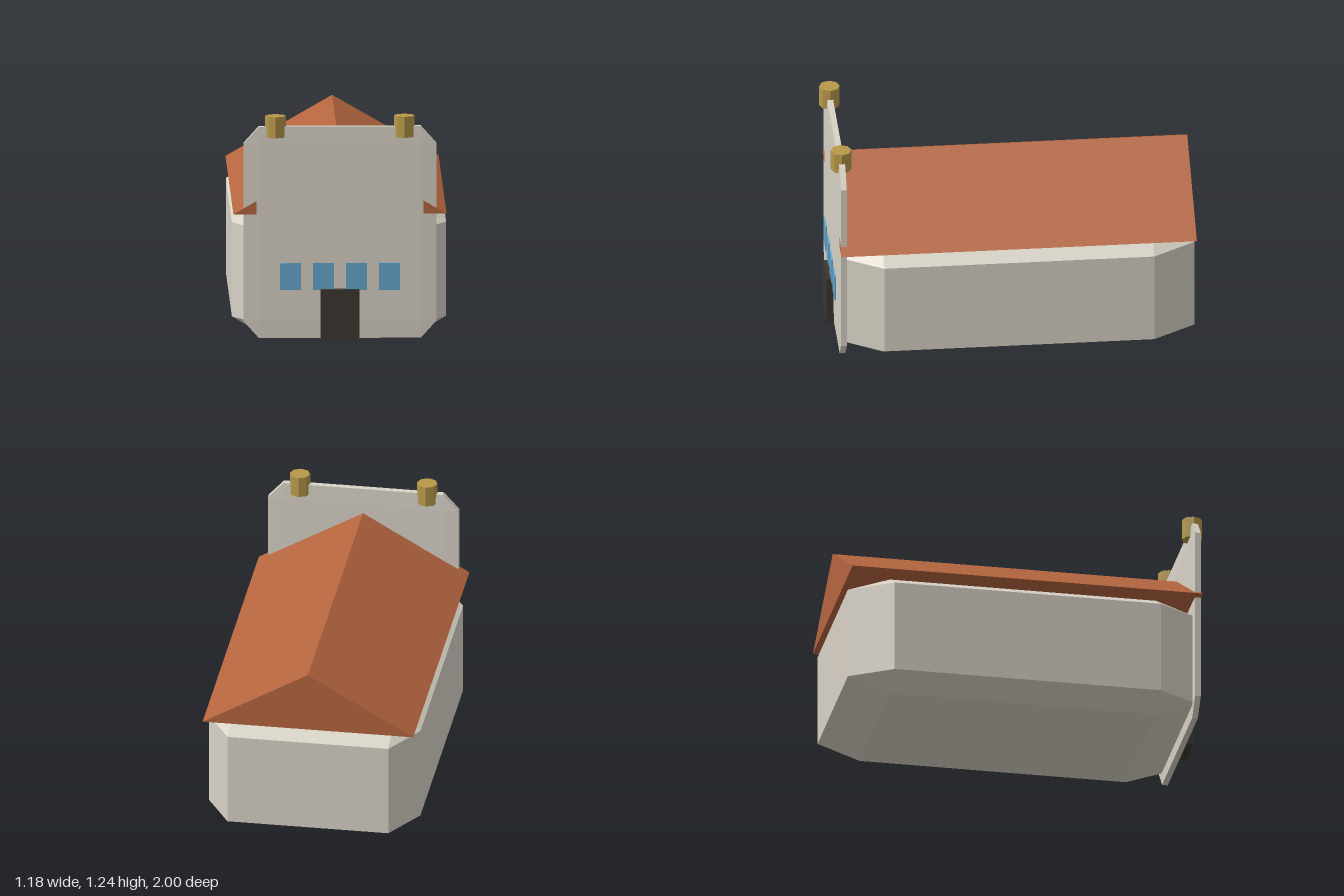
import * as THREE from 'three';
import { ConvexGeometry } from 'three/addons/geometries/ConvexGeometry.js';

const mat = (color) => new THREE.MeshStandardMaterial({ color, flatShading: true });

// Unit cube with all edges chamfered by `bevel`, then stretched to size
function chamferedBox(w, h, d, bevel) {
  const points = [];
  const inner = 0.5 - bevel;
  for (const sx of [-1, 1]) for (const sy of [-1, 1]) for (const sz of [-1, 1]) {
    points.push(
      new THREE.Vector3(sx * 0.5, sy * inner, sz * inner),
      new THREE.Vector3(sx * inner, sy * 0.5, sz * inner),
      new THREE.Vector3(sx * inner, sy * inner, sz * 0.5));
  }
  const geometry = new ConvexGeometry(points);
  geometry.scale(w, h, d);
  geometry.computeVertexNormals();
  return geometry;
}

export function createModel() {
  const group = new THREE.Group();
  const stone = mat(0xd8d2c6);
  const clay = mat(0xb5653f);
  const glass = mat(0x66a8cf);
  const wood = mat(0x3b3630);
  const brass = mat(0xb8994a);

  const add = (name, geometry, material, x, y, z) => {
    const mesh = new THREE.Mesh(geometry, material);
    mesh.name = name;
    mesh.position.set(x, y, z);
    group.add(mesh);
  };

  // Long hall, its front end set into the facade
  add('hall', chamferedBox(1.178, 0.69, 1.96, 0.12), stone, 0, 0.345, -0.02);

  // Gabled roof: triangular prism along z
  const gable = new THREE.Shape();
  gable.moveTo(-0.586, 0);
  gable.lineTo(0.586, 0);
  gable.lineTo(0, 0.338);
  gable.closePath();
  const roof = new THREE.ExtrudeGeometry(gable, { depth: 1.9615, bevelEnabled: false });
  add('roof', roof, clay, 0, 0.691, -1);

  // Tall thin facade
  add('facade', chamferedBox(1.06, 1.178, 0.038, 0.08), stone, 0, 0.589, 0.943);

  // Door and row of windows
  add('door', new THREE.BoxGeometry(0.213, 0.275, 0.04), wood, 0, 0.1375, 0.98);
  for (let i = 0; i < 4; i++) {
    add('window', new THREE.BoxGeometry(0.115, 0.15, 0.008), glass, -0.273 + i * 0.182, 0.345, 0.973);
  }

  // Octagonal finials straddling the top of the facade
  for (const side of [-1, 1]) {
    add('finial', new THREE.CylinderGeometry(0.057, 0.057, 0.117, 8), brass, side * 0.354, 1.178, 0.943);
  }

  return group;
}
